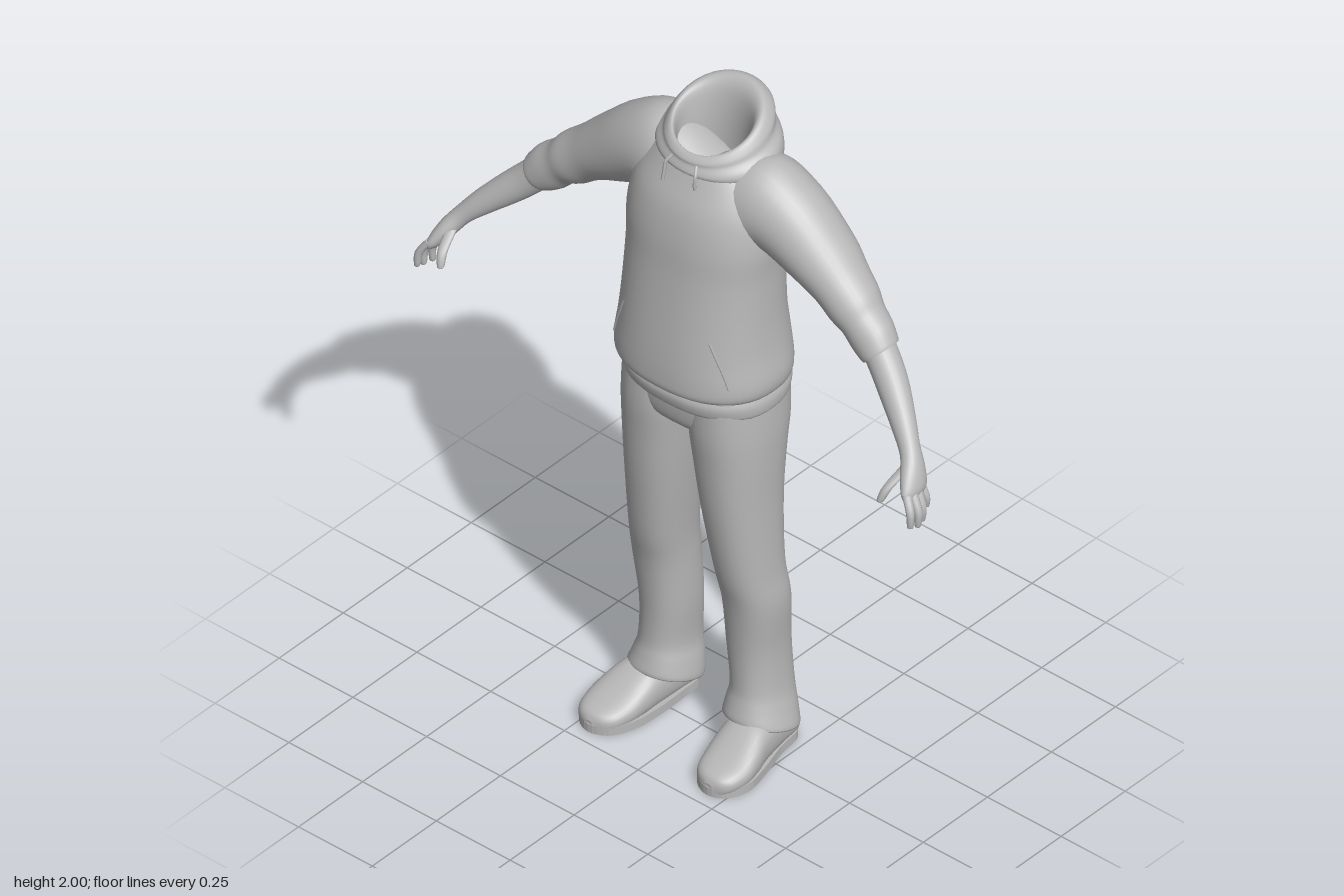
import * as THREE from 'three';

const gray = new THREE.MeshStandardMaterial({ color: 0xb8b8b8 });
gray.name = 'plain gray';

// Spline through rows of numbers, resampled with k steps per span
function resample(rows, k) {
  const out = [], n = rows.length;
  for (let i = 0; i < n - 1; i++) {
    const a = rows[Math.max(i - 1, 0)], b = rows[i], c = rows[i + 1], d = rows[Math.min(i + 2, n - 1)];
    for (let j = 0; j < k; j++) {
      const t = j / k;
      out.push(b.map((v, q) => v + 0.5 * t * (c[q] - a[q] +
        t * (2 * a[q] - 5 * v + 4 * c[q] - d[q] + t * (3 * (v - c[q]) + d[q] - a[q])))));
    }
  }
  out.push(rows[n - 1]);
  return out;
}

// Skin over rings [centre xyz, axis u xyz, axis v xyz]; e < 1 makes rings boxier
function loft(rows, { side = 1, k = 4, n = 32, e = 1, caps = true, flip, floor = -1 } = {}) {
  const rings = resample(rows, k), pos = [], idx = [];
  const pw = (v) => Math.sign(v) * Math.abs(v) ** e;
  const vec = (r, o) => new THREE.Vector3(r[o] * side, r[o + 1], r[o + 2]);
  const first = rings[0], last = rings[rings.length - 1];
  const along = vec(last, 0).sub(vec(first, 0));
  const inv = flip ?? (vec(first, 3).cross(vec(first, 6)).dot(along) < 0);
  const tri = (a, b, c) => (inv ? idx.push(a, c, b) : idx.push(a, b, c));
  const addRing = (r) => {
    for (let i = 0; i < n; i++) {
      const a = i / n * Math.PI * 2, c = pw(Math.cos(a)), s = pw(Math.sin(a));
      pos.push((r[0] + r[3] * c + r[6] * s) * side,
        Math.max(floor, r[1] + r[4] * c + r[7] * s), r[2] + r[5] * c + r[8] * s);
    }
  };
  rings.forEach(addRing);
  for (let j = 0; j < rings.length - 1; j++) {
    for (let i = 0; i < n; i++) {
      const a = j * n + i, b = j * n + (i + 1) % n;
      tri(a, b, b + n); tri(a, b + n, a + n);
    }
  }
  if (caps) [first, last].forEach((r, end) => {
    const o = pos.length / 3;
    addRing(r);
    pos.push(r[0] * side, Math.max(floor, r[1]), r[2]);
    for (let i = 0; i < n; i++) {
      const a = o + i, b = o + (i + 1) % n;
      end ? tri(a, b, o + n) : tri(b, a, o + n);
    }
  });
  const g = new THREE.BufferGeometry();
  g.setAttribute('position', new THREE.Float32BufferAttribute(pos, 3));
  g.setIndex(idx);
  g.computeVertexNormals();
  return g;
}

// Ring builders: level ring, limb ring tilted in the xy plane, ring facing z
const level = ([y, x0, x1, zf, zb, slope = 0]) =>
  [(x0 + x1) / 2, y, (zf + zb) / 2, 0, slope, (zf - zb) / 2, (x1 - x0) / 2, 0, 0];
const limb = ([x, y, z, ru, rv, t]) =>
  [x, y, z, Math.sin(t) * ru, Math.cos(t) * ru, 0, 0, 0, rv];
const facing = ([z, x, hw, h]) => [x, h / 2, z, hw, 0, 0, 0, h / 2, 0];

// Hoodie body: y, half width, front z, back z
const BODY = [
  [1.185, 0.225, 0.145, -0.185], [1.20, 0.238, 0.178, -0.196], [1.24, 0.242, 0.182, -0.197],
  [1.32, 0.23, 0.176, -0.194], [1.42, 0.222, 0.164, -0.182], [1.55, 0.22, 0.148, -0.182],
  [1.65, 0.226, 0.138, -0.19], [1.74, 0.215, 0.118, -0.195], [1.81, 0.185, 0.085, -0.19],
  [1.87, 0.135, 0.055, -0.17],
];
const BODY_E = 0.86;

// Front surface of the hoodie at x, y
function frontZ(x, y) {
  const i = Math.max(0, BODY.findIndex((r) => r[0] > y) - 1), a = BODY[i], b = BODY[i + 1];
  const t = (y - a[0]) / (b[0] - a[0]);
  const [w, f, k] = [1, 2, 3].map((q) => a[q] + (b[q] - a[q]) * t);
  const c = Math.pow(1 - Math.pow(Math.min(1, Math.abs(x) / w), 2 / BODY_E), BODY_E / 2);
  return (f + k) / 2 + (f - k) / 2 * c;
}

export function createModel() {
  const model = new THREE.Group();
  const add = (name, g) => {
    const m = new THREE.Mesh(g, gray);
    m.name = name;
    model.add(m);
  };
  const cord = (pts, r) => new THREE.TubeGeometry(
    new THREE.CatmullRomCurve3(pts.map((p) => new THREE.Vector3(...p))), 12, r, 6);

  // Hoodie body and hem band
  add('hoodieBody', loft(BODY.map(([y, w, f, b]) => level([y, -w, w, f, b])), { n: 48, e: BODY_E, caps: false }));
  add('hoodieHem', loft([
    [1.135, 0.228, 0.143, -0.172], [1.145, 0.234, 0.15, -0.182], [1.175, 0.235, 0.154, -0.19],
    [1.205, 0.225, 0.14, -0.18],
  ].map(([y, w, f, b]) => level([y, -w, w, f, b, -0.008])), { n: 48, e: BODY_E }));

  // Hood: lining, rolled rim, groove and drape; half width, front z, back z, front y, back y
  add('hood', loft([
    [0.09, 0.03, -0.11, 1.73, 1.73], [0.098, 0.038, -0.12, 1.82, 1.87],
    [0.105, 0.042, -0.135, 1.865, 1.955], [0.114, 0.05, -0.155, 1.885, 1.992],
    [0.128, 0.06, -0.18, 1.883, 2.0], [0.144, 0.07, -0.208, 1.872, 1.975],
    [0.152, 0.071, -0.203, 1.862, 1.94], [0.172, 0.077, -0.214, 1.85, 1.905],
    [0.178, 0.08, -0.217, 1.842, 1.86], [0.17, 0.077, -0.214, 1.835, 1.815],
    [0.145, 0.06, -0.18, 1.835, 1.80],
  ].map(([w, f, b, yf, yb]) =>
    [0, (yf + yb) / 2, (f + b) / 2, 0, (yf - yb) / 2, (f - b) / 2, w, 0, 0]),
  { n: 48, caps: false, flip: true }));

  // Seat of the trousers
  add('trouserSeat', loft([
    [1.19, -0.22, 0.22, 0.13, -0.165], [1.1, -0.222, 0.222, 0.128, -0.162],
    [1.05, -0.19, 0.19, 0.115, -0.145], [1.02, -0.12, 0.12, 0.07, -0.1],
  ].map(level), { n: 40, e: 0.85 }));

  for (const side of [1, -1]) {
    const pre = side > 0 ? 'left' : 'right';

    // Sleeve from the chest over the shoulder to the cuff
    add(pre + 'Sleeve', loft([
      [0, 1.74, -0.05, 0.07, 0.1, 0], [0.13, 1.74, -0.06, 0.15, 0.118, 0.2],
      [0.235, 1.73, -0.066, 0.117, 0.112, 0.5], [0.355, 1.655, -0.068, 0.09, 0.098, 0.68],
      [0.42, 1.61, -0.062, 0.076, 0.084, 0.72], [0.47, 1.572, -0.054, 0.073, 0.076, 0.75],
      [0.505, 1.545, -0.048, 0.063, 0.066, 0.75], [0.54, 1.515, -0.042, 0.065, 0.062, 0.77],
      [0.568, 1.49, -0.036, 0.058, 0.057, 0.78], [0.578, 1.482, -0.034, 0.053, 0.053, 0.78],
    ].map(limb), { side }));

    // Forearm and palm
    add(pre + 'Forearm', loft([
      [0.55, 1.51, -0.04, 0.046, 0.046, 0.8], [0.60, 1.457, -0.026, 0.046, 0.046, 0.8],
      [0.65, 1.41, -0.004, 0.043, 0.044, 0.8], [0.71, 1.355, 0.03, 0.035, 0.036, 0.85],
      [0.755, 1.308, 0.058, 0.027, 0.031, 0.95], [0.782, 1.27, 0.08, 0.026, 0.041, 1.1],
      [0.803, 1.232, 0.098, 0.021, 0.046, 1.2], [0.81, 1.213, 0.104, 0.012, 0.038, 1.25],
    ].map(limb), { side, n: 24 }));

    // Fingers and thumb, as base, middle joint and tip
    [
      ['IndexFinger', [0.807, 1.235, 0.132], [0.832, 1.195, 0.146], [0.836, 1.155, 0.15], 0.0115],
      ['MiddleFinger', [0.81, 1.23, 0.112], [0.836, 1.187, 0.12], [0.838, 1.145, 0.123], 0.0118],
      ['RingFinger', [0.808, 1.23, 0.091], [0.83, 1.185, 0.096], [0.83, 1.145, 0.097], 0.0112],
      ['LittleFinger', [0.802, 1.235, 0.071], [0.82, 1.198, 0.069], [0.82, 1.168, 0.068], 0.0098],
      ['Thumb', [0.768, 1.275, 0.09], [0.755, 1.238, 0.143], [0.746, 1.203, 0.162], 0.0135],
    ].forEach(([name, a, b, c, r]) => {
      const tip = c.map((v, i) => v + (c[i] - b[i]) * 0.12);
      const ring = (p, q) => [...p, r * q, 0, 0, 0, 0, r * q];
      add(pre + name, loft([ring(a, 1.1), ring(b, 1), ring(c, 0.75), ring(tip, 0.25)], { side, n: 12 }));
    });

    // Trouser leg with a slanted hem
    add(pre + 'TrouserLeg', loft([
      [1.18, 0.004, 0.223, 0.125, -0.16], [1.06, 0.0, 0.228, 0.129, -0.158],
      [0.96, 0.012, 0.227, 0.122, -0.14], [0.8, 0.035, 0.223, 0.108, -0.122],
      [0.6, 0.062, 0.226, 0.08, -0.115], [0.48, 0.07, 0.234, 0.054, -0.128],
      [0.33, 0.074, 0.222, 0.038, -0.14], [0.2, 0.084, 0.226, 0.036, -0.148, 0.015],
      [0.14, 0.074, 0.24, 0.045, -0.15, 0.025], [0.088, 0.067, 0.256, 0.056, -0.145, 0.034],
      [0.082, 0.08, 0.245, 0.045, -0.135, 0.034],
    ].map(level), { side, e: 0.9 }));

    // Shoe upper and flat sole
    add(pre + 'Shoe', loft([
      [-0.146, 0.165, 0.03, 0.07], [-0.125, 0.167, 0.054, 0.105], [-0.05, 0.173, 0.062, 0.13],
      [0.03, 0.182, 0.07, 0.13], [0.08, 0.19, 0.076, 0.108], [0.13, 0.197, 0.076, 0.08],
      [0.175, 0.2, 0.064, 0.064], [0.2, 0.202, 0.042, 0.052], [0.211, 0.203, 0.015, 0.035],
    ].map(facing), { side, n: 28, e: 0.8 }));
    const outline = new THREE.Shape().setFromPoints(new THREE.CatmullRomCurve3([
      [0.165, -0.15], [0.217, -0.125], [0.234, -0.04], [0.262, 0.06], [0.274, 0.13], [0.25, 0.192],
      [0.203, 0.214], [0.15, 0.192], [0.118, 0.13], [0.108, 0.04], [0.11, -0.06], [0.117, -0.125],
    ].map(([x, z]) => new THREE.Vector3(x * side, -z, 0)), true).getPoints(48));
    const sole = new THREE.ExtrudeGeometry(outline, { depth: 0.026, bevelEnabled: false });
    add(pre + 'Sole', sole.rotateX(-Math.PI / 2));

    // Drawstring and pocket opening
    const end = side > 0 ? 1.81 : 1.795;
    add(pre + 'Drawstring', cord([[0.04, 1.868, 0.068], [0.05, 1.85, 0.084], [0.051, 1.825, 0.089],
      [0.052, end, frontZ(0.052, end) + 0.006]].map(([x, y, z]) => [x * side, y, z]), 0.005));
    add(pre + 'PocketOpening', cord([[0.145, 1.385], [0.163, 1.34], [0.18, 1.295], [0.194, 1.25]]
      .map(([x, y]) => [x * side, y, frontZ(x, y)]), 0.004));
  }
  return model;
}
